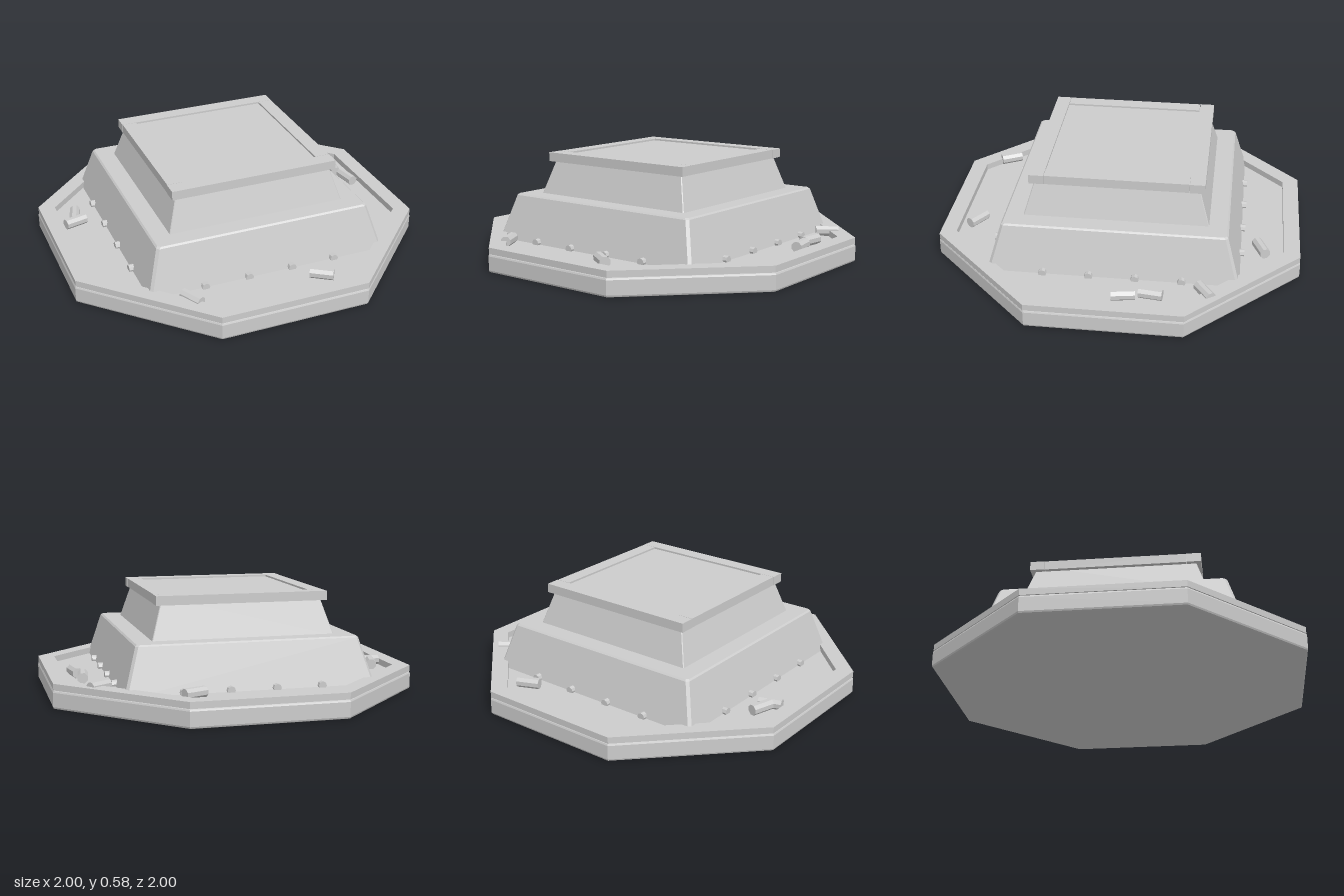
import * as THREE from 'three';
import { ConvexGeometry } from 'three/addons/geometries/ConvexGeometry.js';

const material = new THREE.MeshStandardMaterial({ color: 0xcccccc, flatShading: true });

function add(parent, name, geometry, x = 0, y = 0, z = 0) {
  const mesh = new THREE.Mesh(geometry, material);
  mesh.name = name;
  mesh.position.set(x, y, z);
  parent.add(mesh);
  return mesh;
}

// Corners of a square with cut corners: half = half width, cut = corner length
function cutSquare(half, cut) {
  const a = half, b = half - cut;
  return [[a, -b], [a, b], [b, a], [-b, a], [-a, b], [-a, -b], [-b, -a], [b, -a]]
    .map(([x, y]) => new THREE.Vector2(x, y));
}

// Upright extrusion starting at y = 0
function slab(shape, height, bevel) {
  const geometry = new THREE.ExtrudeGeometry(shape, {
    depth: height - 2 * bevel, bevelEnabled: bevel > 0, bevelSize: bevel,
    bevelThickness: bevel, bevelOffset: -bevel, bevelSegments: 2,
  });
  return geometry.rotateX(-Math.PI / 2).translate(0, bevel, 0);
}

// Tapered block from stacked sections [y, half width, corner cut]
function taperedBlock(sections) {
  return new ConvexGeometry(sections.flatMap(([y, half, cut]) =>
    cutSquare(half, cut).map((p) => new THREE.Vector3(p.x, y, p.y))));
}

export function createModel() {
  const model = new THREE.Group();
  model.name = 'octagonalPlinth';

  // Octagonal base with a raised rim
  add(model, 'base', slab(new THREE.Shape(cutSquare(1, 0.59)), 0.1, 0.012));
  const rim = new THREE.Shape(cutSquare(0.997, 0.587));
  rim.holes.push(new THREE.Path(cutSquare(0.908, 0.535).reverse()));
  add(model, 'rim', slab(rim, 0.035, 0), 0, 0.1, 0);

  // Two stepped, sloping tiers
  const tower = new THREE.Group();
  tower.name = 'tower';
  tower.position.set(-0.004, 0, -0.004);
  model.add(tower);
  add(tower, 'lowerTier', taperedBlock([
    [0.09, 0.676, 0.014], [0.342, 0.603, 0.014], [0.35, 0.594, 0.014]]));
  add(tower, 'upperTier', taperedBlock([[0.34, 0.5, 0.004], [0.57, 0.43, 0.004]]));

  // Square frame around the top panel
  for (const s of [-1, 1]) {
    add(tower, 'capBeam', new THREE.BoxGeometry(0.936, 0.05, 0.08), 0, 0.555, s * 0.428);
    add(tower, 'capSideBeam', new THREE.BoxGeometry(0.08, 0.05, 0.772), s * 0.426, 0.555, 0);
  }

  // Row of bolts at the foot of each wall
  const boltGeometry = new THREE.CylinderGeometry(0.022, 0.022, 0.05, 8).rotateX(Math.PI / 2);
  for (let side = 0; side < 4; side++) {
    const row = new THREE.Group();
    row.name = 'boltRow';
    row.rotation.y = side * Math.PI / 2;
    tower.add(row);
    for (let i = 0; i < 4; i++) {
      add(row, 'bolt', boltGeometry, (i - 1.5) * 0.247, 0.11, 0.667);
    }
  }

  // Loose rods scattered on the base: x, z, axis direction x, z
  const rodGeometry = new THREE.CylinderGeometry(0.03, 0.03, 0.125, 8)
    .rotateY(Math.PI / 8).rotateX(Math.PI / 2);
  const rods = [
    [0.335, -0.785, 0.12, -0.05], [0.77, -0.5, 0.11, -0.075],
    [0.82, -0.225, -0.015, 0.12], [0.845, -0.085, 0.02, 0.12],
    [-0.822, -0.255, -0.035, 0.12], [-0.835, -0.185, 0.115, -0.03],
    [-0.485, 0.775, 0.06, 0.115], [0.225, 0.82, 0.105, 0.07],
  ];
  for (const [x, z, dx, dz] of rods) {
    add(model, 'looseRod', rodGeometry, x, 0.13, z).rotation.y = Math.atan2(dx, dz);
  }

  return model;
}
